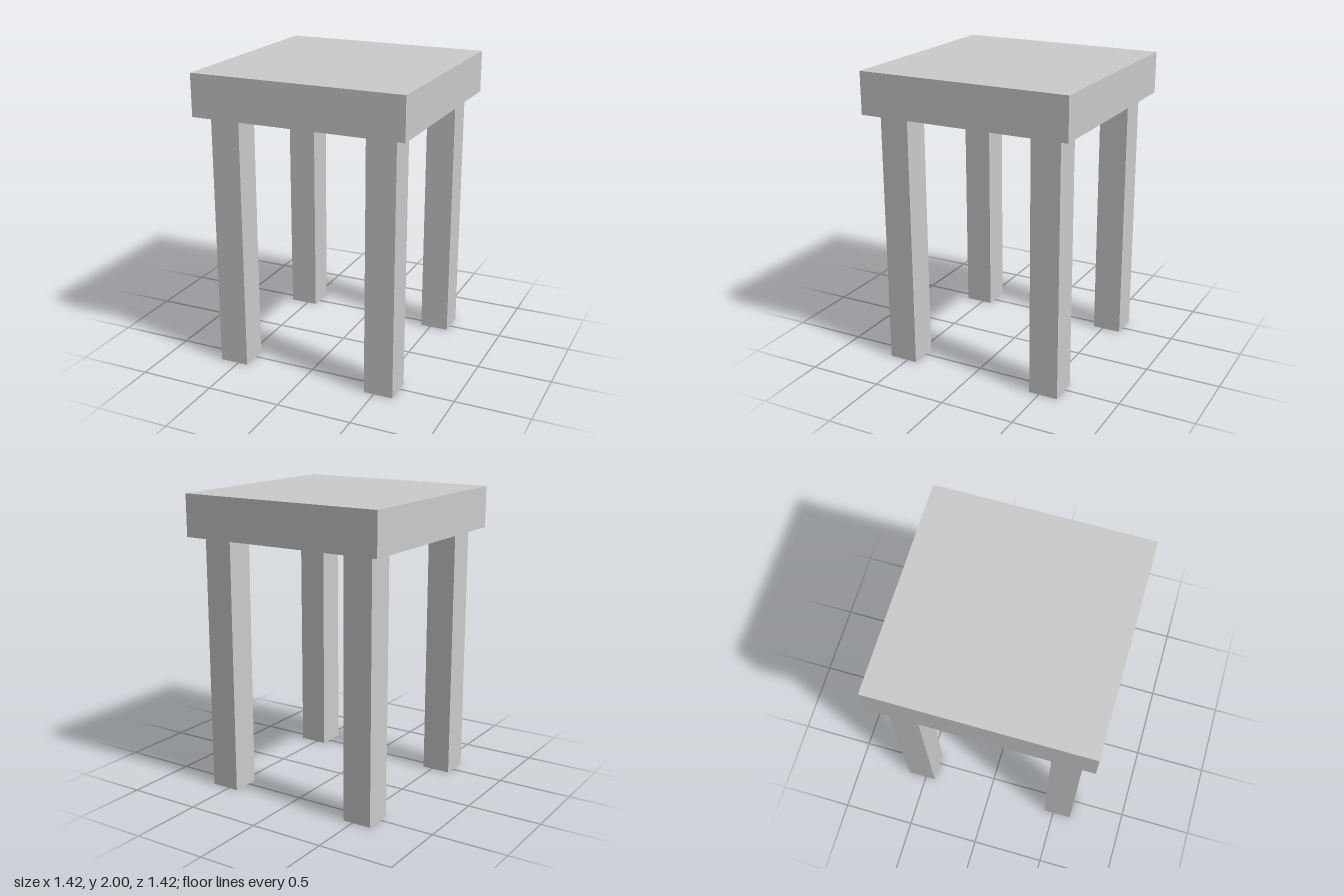
import * as THREE from 'three';

const HEIGHT = 2;
const SEAT_WIDTH = 1.425;
const SEAT_THICKNESS = 0.28;
const LEG_WIDTH = 0.197;
const LEG_OFFSET = 0.53;

export function createModel() {
  const model = new THREE.Group();
  model.name = 'stool';
  const material = new THREE.MeshStandardMaterial({ color: 0xcccccc, flatShading: true });

  // Thick square seat
  const seat = new THREE.Mesh(new THREE.BoxGeometry(SEAT_WIDTH, SEAT_THICKNESS, SEAT_WIDTH), material);
  seat.name = 'seat';
  seat.position.y = HEIGHT - SEAT_THICKNESS / 2;
  model.add(seat);

  // Four square legs, inset from the seat corners
  const legHeight = HEIGHT - SEAT_THICKNESS;
  const legGeometry = new THREE.BoxGeometry(LEG_WIDTH, legHeight, LEG_WIDTH);
  for (const [sideName, x] of [['Left', 1], ['Right', -1]]) {
    for (const [endName, z] of [['front', 1], ['back', -1]]) {
      const leg = new THREE.Mesh(legGeometry, material);
      leg.name = `${endName}${sideName}Leg`;
      leg.position.set(x * LEG_OFFSET, legHeight / 2, z * LEG_OFFSET);
      model.add(leg);
    }
  }

  return model;
}
